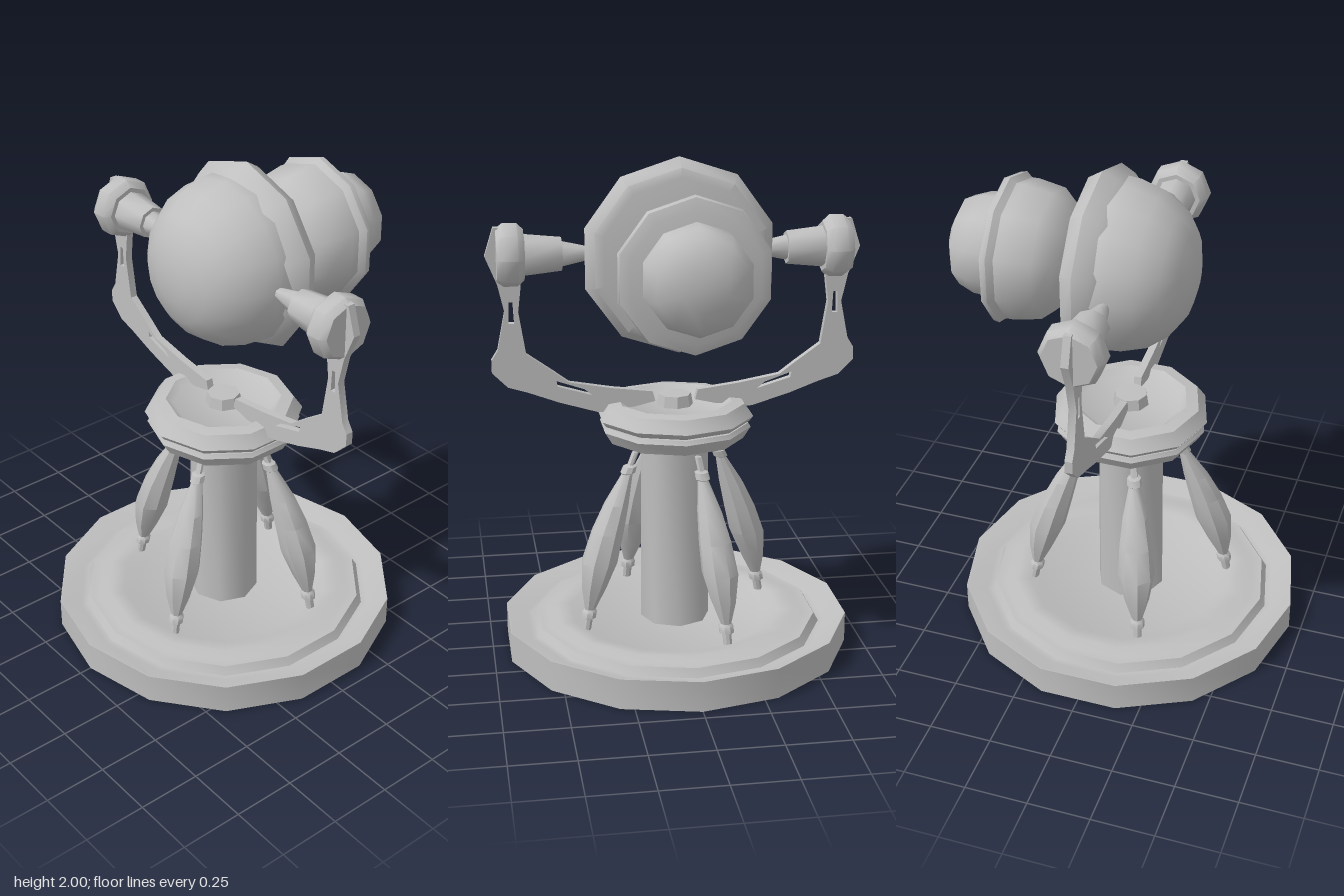
import * as THREE from 'three';
import { toCreasedNormals } from 'three/addons/utils/BufferGeometryUtils.js';

const grey = new THREE.MeshStandardMaterial({ color: 0xbfbfbf });
grey.name = 'plain grey';

const HEAD_Y = 1.62;

function mesh(name, geometry, crease = 0.75) {
  const m = new THREE.Mesh(toCreasedNormals(geometry, crease), grey);
  m.name = name;
  return m;
}

// Turned shape about y from [radius, height] pairs, listed bottom to top
function turned(profile, sides) {
  return new THREE.LatheGeometry(profile.map(([r, h]) => new THREE.Vector2(r, h)), sides);
}

function outline(points, Type = THREE.Shape) {
  return new Type(points.map(([x, y]) => new THREE.Vector2(x, y)));
}

// Strut: slim pins at both ends, a spindle body leaning inward with a slight bow
function makeStrut() {
  const g = turned([
    [0, 0.12], [0.018, 0.12], [0.018, 0.165], [0.03, 0.17], [0.03, 0.195], [0.022, 0.205],
    [0.05, 0.29], [0.074, 0.4], [0.066, 0.52], [0.05, 0.63], [0.022, 0.745],
    [0.03, 0.75], [0.028, 0.775], [0.014, 0.78], [0.014, 0.83], [0, 0.83],
  ], 8);
  const p = g.attributes.position;
  for (let i = 0; i < p.count; i++) {
    const t = (p.getY(i) - 0.12) / 0.71;
    p.setZ(i, p.getZ(i) + 0.41 - 0.23 * t + 0.03 * Math.sin(Math.PI * t));
  }
  return mesh('strut', g);
}

// One side of the yoke, on +x: flat bent arm, pivot knob, shaft and neck
function makeYokeSide() {
  const side = new THREE.Group();
  const arm = outline([
    [0.08, 1.02], [0.25, 0.98], [0.31, 0.985], [0.46, 1.03], [0.58, 1.075], [0.66, 1.1],
    [0.72, 1.16], [0.72, 1.21], [0.695, 1.25], [0.665, 1.4], [0.69, 1.51], [0.735, 1.62],
    [0.7, 1.73], [0.6, 1.73], [0.6, 1.5], [0.612, 1.4], [0.585, 1.23], [0.48, 1.155],
    [0.42, 1.11], [0.25, 1.08], [0.09, 1.06],
  ]);
  arm.holes.push(
    outline([[0.628, 1.355], [0.632, 1.44], [0.648, 1.44], [0.651, 1.355]], THREE.Path),
    outline([[0.33, 1.055], [0.36, 1.08], [0.47, 1.118], [0.465, 1.095]], THREE.Path),
  );
  const plate = new THREE.ExtrudeGeometry(arm, { depth: 0.03, bevelEnabled: false });
  side.add(mesh('yokeArm', plate.translate(0, 0, -0.015), 0.5));

  const parts = {
    pivotKnob: [[0, 0.585], [0.1, 0.585], [0.125, 0.61], [0.125, 0.665], [0.105, 0.692], [0, 0.692]],
    pivotShaft: [[0, 0.44], [0.066, 0.44], [0.082, 0.59], [0, 0.59]],
    pivotNeck: [[0, 0.31], [0.02, 0.31], [0.032, 0.36], [0.05, 0.44], [0, 0.44]],
  };
  for (const [name, profile] of Object.entries(parts)) {
    const g = turned(profile, 8).rotateZ(-Math.PI / 2).translate(0, HEAD_Y, 0);
    side.add(mesh(name, g, 0.8));
  }
  return side;
}

// Shape turned about the head's front-to-back axis; heights become z
function headPart(name, profile, sides, crease = 0.75) {
  return mesh(name, turned(profile, sides).rotateX(Math.PI / 2).translate(0, HEAD_Y, 0), crease);
}

export function createModel() {
  const model = new THREE.Group();
  model.name = 'swivelStand';

  // Foot: hollow underside, sloping rim, groove and a raised inner ring
  model.add(mesh('base', turned([
    [0, 0.04], [0.6, 0.04], [0.69, 0], [0.7, 0], [0.7, 0.122], [0.695, 0.122],
    [0.615, 0.085], [0.59, 0.085], [0.57, 0.118], [0.53, 0.118], [0.49, 0.13],
    [0.43, 0.125], [0.38, 0.1], [0, 0.1],
  ], 14), 0.5));

  model.add(mesh('column', turned([[0, 0.1], [0.14, 0.1], [0.135, 0.93], [0, 0.93]], 8), 0.9));

  // Four struts around the column
  const struts = new THREE.Group();
  struts.name = 'struts';
  for (let i = 0; i < 4; i++) {
    const strut = makeStrut();
    strut.rotation.y = 0.38 + i * Math.PI / 2;
    struts.add(strut);
  }
  model.add(struts);

  // Turntable: two stacked collars and a small cap
  model.add(mesh('lowerCollar', turned([
    [0, 0.9], [0.21, 0.9], [0.25, 0.867], [0.275, 0.872], [0.305, 0.92], [0.295, 0.937], [0, 0.937],
  ], 10)));
  model.add(mesh('upperCollar', turned([
    [0, 0.93], [0.26, 0.93], [0.3, 0.945], [0.315, 0.965], [0.28, 1.015], [0.23, 1.022],
    [0.2, 1.0], [0, 1.0],
  ], 10)));
  model.add(mesh('centreCap', turned([[0, 0.99], [0.075, 0.99], [0.065, 1.045], [0, 1.045]], 8)));

  // Yoke, the same on both sides
  for (const [name, turn] of [['leftYoke', 0], ['rightYoke', Math.PI]]) {
    const side = makeYokeSide();
    side.name = name;
    side.rotation.y = turn;
    model.add(side);
  }

  // Head: smooth dome in front, heavy ring behind it
  model.add(headPart('headDome', [
    [0, -0.14], [0.3, -0.14], [0.335, -0.06], [0.33, 0], [0.3, 0.1], [0.24, 0.18],
    [0.17, 0.23], [0.08, 0.256], [0, 0.26],
  ], 16, 1));
  model.add(headPart('headRing', [
    [0, -0.17], [0.31, -0.175], [0.345, -0.165], [0.38, -0.11], [0.35, -0.05], [0.32, -0.02], [0, -0.02],
  ], 10, 0.8));

  // Rear housing with flange and rounded cup
  model.add(headPart('rearHousing', [
    [0, -0.48], [0.275, -0.48], [0.275, -0.42], [0.255, -0.31], [0.2, -0.25], [0.12, -0.205], [0, -0.205],
  ], 10, 0.8));
  model.add(headPart('rearFlange', [
    [0, -0.515], [0.25, -0.515], [0.29, -0.5], [0.295, -0.475], [0.27, -0.445], [0, -0.445],
  ], 10));
  model.add(headPart('rearCup', [
    [0, -0.71], [0.09, -0.705], [0.175, -0.665], [0.2, -0.6], [0.205, -0.5], [0, -0.5],
  ], 10, 0.9));

  return model;
}
